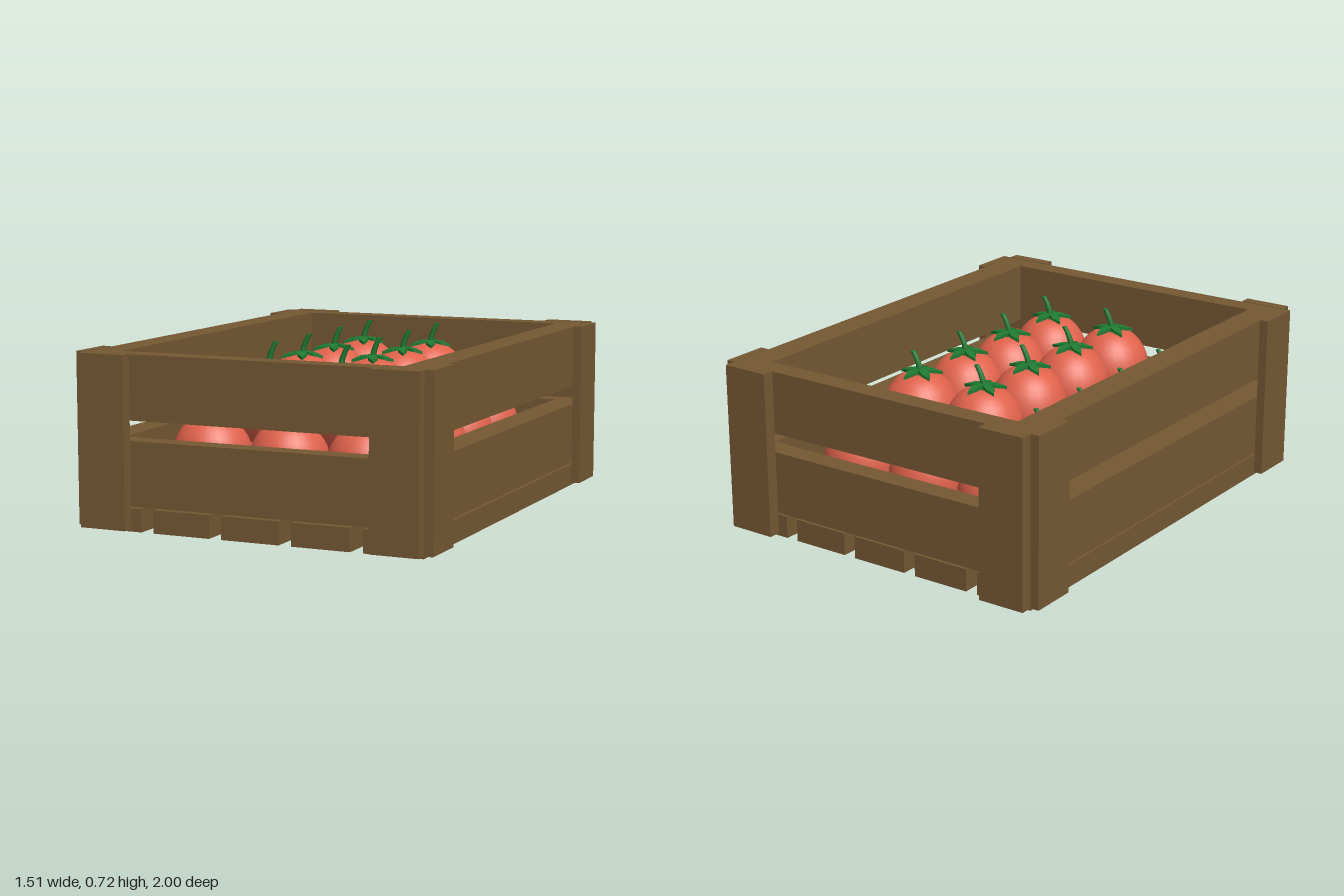
import * as THREE from 'three';

const wood = new THREE.MeshStandardMaterial({ color: 0x755834 });
wood.name = 'brown wood';
const skin = new THREE.MeshStandardMaterial({ color: 0xe0624b });
skin.name = 'tomato red';
const leaf = new THREE.MeshStandardMaterial({ color: 0x1f7a32 });
leaf.name = 'leaf green';

// Plank given by its minimum and maximum on each axis
function plank(name, x0, x1, y0, y1, z0, z1) {
  const mesh = new THREE.Mesh(new THREE.BoxGeometry(x1 - x0, y1 - y0, z1 - z0), wood);
  mesh.position.set((x0 + x1) / 2, (y0 + y1) / 2, (z0 + z1) / 2);
  mesh.name = name;
  return mesh;
}

function buildCrate() {
  const crate = new THREE.Group();
  crate.name = 'crate';
  // Floor slats running front to back
  for (let i = -2; i <= 2; i++) {
    const x = i * 0.2985;
    crate.add(plank('floorSlat', x - 0.123, x + 0.123, 0, 0.093, -0.95, 0.95));
  }
  // Two rails on each wall
  for (const [y0, y1] of [[0.1, 0.36], [0.44, 0.7]]) {
    crate.add(plank('leftRail', 0.6, 0.72, y0, y1, -0.86, 0.86));
    crate.add(plank('rightRail', -0.72, -0.6, y0, y1, -0.86, 0.86));
    crate.add(plank('frontRail', -0.72, 0.72, y0, y1, 0.86, 0.95));
    crate.add(plank('backRail', -0.72, 0.72, y0, y1, -0.95, -0.86));
  }
  // Corner boards on the outside of the walls
  for (const sx of [-1, 1]) {
    for (const sz of [-1, 1]) {
      const endBoard = plank('endCornerBoard', -0.1, 0.1, 0.01, 0.702, -0.025, 0.025);
      endBoard.position.x = sx * 0.62;
      endBoard.position.z = sz * 0.975;
      const sideBoard = plank('sideCornerBoard', -0.0185, 0.0185, 0.01, 0.702, -0.1, 0.1);
      sideBoard.position.x = sx * 0.7385;
      sideBoard.position.z = sz * 0.85;
      crate.add(endBoard, sideBoard);
    }
  }
  return crate;
}

// Round fruit with a dimple under the stem
function fruitGeometry() {
  const profile = [];
  const steps = 18;
  for (let i = 0; i <= steps; i++) {
    const t = Math.PI * (1 - i / steps);
    const r = i === 0 || i === steps ? 0 : 0.16 * Math.sin(t);
    const dimple = t < 1 ? 0.025 * Math.exp(-((r / 0.035) ** 2)) : 0;
    profile.push(new THREE.Vector2(r, 0.175 * Math.cos(t) - dimple));
  }
  return new THREE.LatheGeometry(profile, 28);
}

// Five pointed leaves drooping over the fruit
function calyxGeometry() {
  const points = [];
  const polar = (r, deg) => {
    const a = THREE.MathUtils.degToRad(deg);
    points.push(new THREE.Vector2(r * Math.cos(a), r * Math.sin(a)));
  };
  for (let i = 0; i < 5; i++) {
    const a = 79 + i * 72;
    polar(0.026, a - 36);
    polar(0.056, a - 20);
    polar(0.09, a);
    polar(0.056, a + 20);
  }
  const geometry = new THREE.ExtrudeGeometry(new THREE.Shape(points), { depth: 0.012, bevelEnabled: false });
  geometry.rotateX(-Math.PI / 2);
  const p = geometry.attributes.position;
  for (let i = 0; i < p.count; i++) {
    const r2 = p.getX(i) ** 2 + p.getZ(i) ** 2;
    p.setY(i, p.getY(i) + 0.17 - 2.2 * r2);
  }
  geometry.computeVertexNormals();
  return geometry;
}

// Short tapered stem bending to one side
function stemGeometry() {
  const geometry = new THREE.CylinderGeometry(0.011, 0.013, 0.105, 6, 4);
  geometry.translate(0, 0.2, 0);
  const p = geometry.attributes.position;
  for (let i = 0; i < p.count; i++) {
    const t = (p.getY(i) - 0.1475) / 0.105;
    p.setX(i, p.getX(i) + 0.03 * t * t);
    p.setZ(i, p.getZ(i) - 0.008 * t * t);
  }
  geometry.computeVertexNormals();
  return geometry;
}

function buildTomatoes() {
  const tomatoes = new THREE.Group();
  tomatoes.name = 'tomatoes';
  const parts = [
    ['fruit', fruitGeometry(), skin],
    ['calyx', calyxGeometry(), leaf],
    ['stem', stemGeometry(), leaf],
  ];
  const layers = [
    { xs: [-0.325, 0.017, 0.35], y: 0.27, z0: -0.605, rows: 5 },
    { xs: [-0.155, 0.163], y: 0.467, z0: -0.46, rows: 4 },
  ];
  for (const { xs, y, z0, rows } of layers) {
    for (const x of xs) {
      for (let row = 0; row < rows; row++) {
        const tomato = new THREE.Group();
        tomato.name = 'tomato';
        for (const [name, geometry, material] of parts) {
          const mesh = new THREE.Mesh(geometry, material);
          mesh.name = name;
          tomato.add(mesh);
        }
        tomato.position.set(x, y, z0 + row * 0.31);
        tomatoes.add(tomato);
      }
    }
  }
  return tomatoes;
}

export function createModel() {
  const model = new THREE.Group();
  model.name = 'tomatoCrate';
  model.add(buildCrate(), buildTomatoes());
  return model;
}
